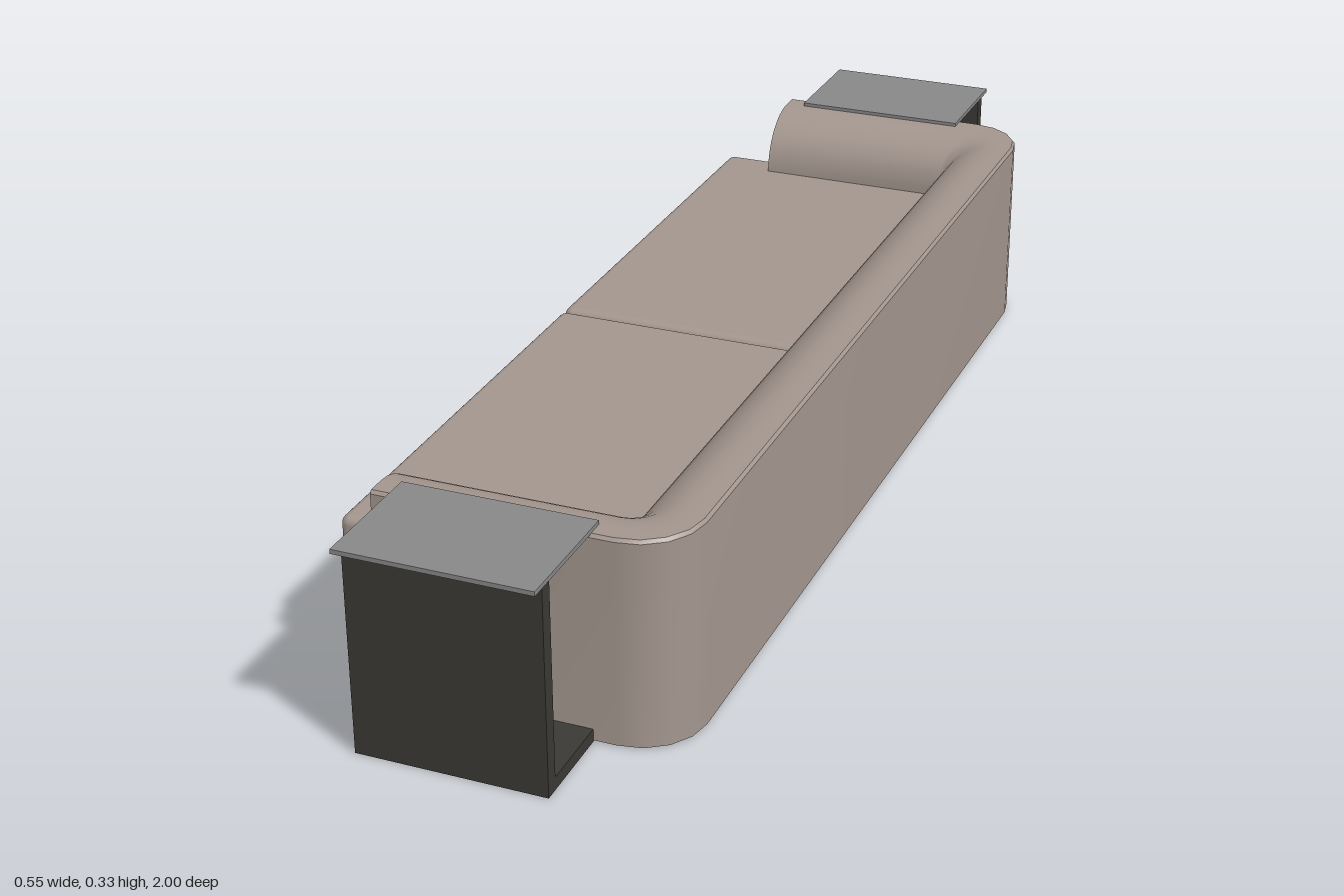
import * as THREE from 'three';
import { toCreasedNormals } from 'three/addons/utils/BufferGeometryUtils.js';
import { RoundedBoxGeometry } from 'three/addons/geometries/RoundedBoxGeometry.js';

const fabric = new THREE.MeshStandardMaterial({ color: 0xa3968e });
const dark = new THREE.MeshStandardMaterial({ color: 0x3a3935 });
const grey = new THREE.MeshStandardMaterial({ color: 0x888888 });

// Box given by its minimum and maximum corners
function box(name, material, min, max, radius = 0) {
  const size = max.map((v, i) => v - min[i]);
  const geometry = radius
    ? new RoundedBoxGeometry(...size, 3, radius)
    : new THREE.BoxGeometry(...size);
  const mesh = new THREE.Mesh(geometry, material);
  mesh.position.set(...max.map((v, i) => (v + min[i]) / 2));
  mesh.name = name;
  return mesh;
}

// U-shaped back and arms: one rolled section swept round the seats
function wrapGeometry() {
  // Stations in plan: [outer x, outer z, inner x, inner z]
  const half = [[-0.18, 0.83, -0.18, 0.7]];
  for (let i = 0; i <= 4; i++) {
    const a = (Math.PI / 2) * (1 - i / 4);
    half.push([0.18 + 0.095 * Math.cos(a), 0.735 + 0.095 * Math.sin(a), 0.145, 0.7]);
  }
  const mirrored = half.map(([ox, oz, ix, iz]) => [ox, -oz, ix, -iz]).reverse();
  const stations = [...half, [0.275, 0, 0.145, 0], ...mirrored];

  // Section: [share of the way from outer to inner side, height]
  const section = [[0, 0.002], [0, 0.32], [0.03, 0.325]];
  for (let i = 0; i <= 8; i++) {
    const a = (Math.PI / 2) * (1 - i / 8);
    section.push([0.25 + 0.75 * Math.cos(a), 0.225 + 0.1 * Math.sin(a)]);
  }
  section.push([1, 0.002]);

  const n = section.length;
  const points = [];
  for (const [ox, oz, ix, iz] of stations) {
    for (const [t, y] of section) points.push(ox + (ix - ox) * t, y, oz + (iz - oz) * t);
  }
  const index = [];
  for (let i = 0; i < stations.length - 1; i++) {
    for (let j = 0; j < n; j++) {
      const k = (j + 1) % n;
      const a = i * n + j, b = a + n, c = (i + 1) * n + k, d = i * n + k;
      index.push(a, b, c, a, c, d);
    }
  }
  // Flat ends of the arms
  const last = (stations.length - 1) * n;
  for (let j = 1; j < n - 1; j++) {
    index.push(0, j, j + 1, last, last + j + 1, last + j);
  }
  const geometry = new THREE.BufferGeometry();
  geometry.setAttribute('position', new THREE.Float32BufferAttribute(points, 3));
  geometry.setIndex(index);
  return toCreasedNormals(geometry, 0.6);
}

// C-shaped side table hugging one arm
function sideTable(name) {
  const table = new THREE.Group();
  table.name = name;
  table.add(
    box('tableTop', grey, [-0.147, 0.324, 0.8], [0.147, 0.331, 1]),
    box('tablePanel', dark, [-0.145, 0, 0.953], [0.145, 0.324, 0.975]),
    box('tableFoot', dark, [-0.145, 0, 0.805], [0.145, 0.02, 0.953])
  );
  return table;
}

export function createModel() {
  const model = new THREE.Group();
  model.name = 'sofa';

  const wrap = new THREE.Mesh(wrapGeometry(), fabric);
  wrap.name = 'backAndArms';
  model.add(wrap);

  // Two seat blocks, meeting in the middle
  model.add(
    box('leftSeat', fabric, [-0.277, 0.001, 0.001], [0.15, 0.227, 0.755], 0.014),
    box('rightSeat', fabric, [-0.277, 0.001, -0.755], [0.15, 0.227, -0.001], 0.014)
  );

  // Plinth under the seats, with a separate batten under each arm
  model.add(box('plinth', dark, [-0.145, 0, -0.7], [0.145, 0.02, 0.7]));
  for (const s of [1, -1]) {
    const batten = box('batten', dark, [-0.145, 0, 0.72], [0.145, 0.02, 0.785]);
    batten.position.z *= s;
    model.add(batten);
  }

  // Side tables at both ends
  const near = sideTable('frontSideTable');
  const far = sideTable('rearSideTable');
  far.rotation.y = Math.PI;
  model.add(near, far);

  return model;
}
